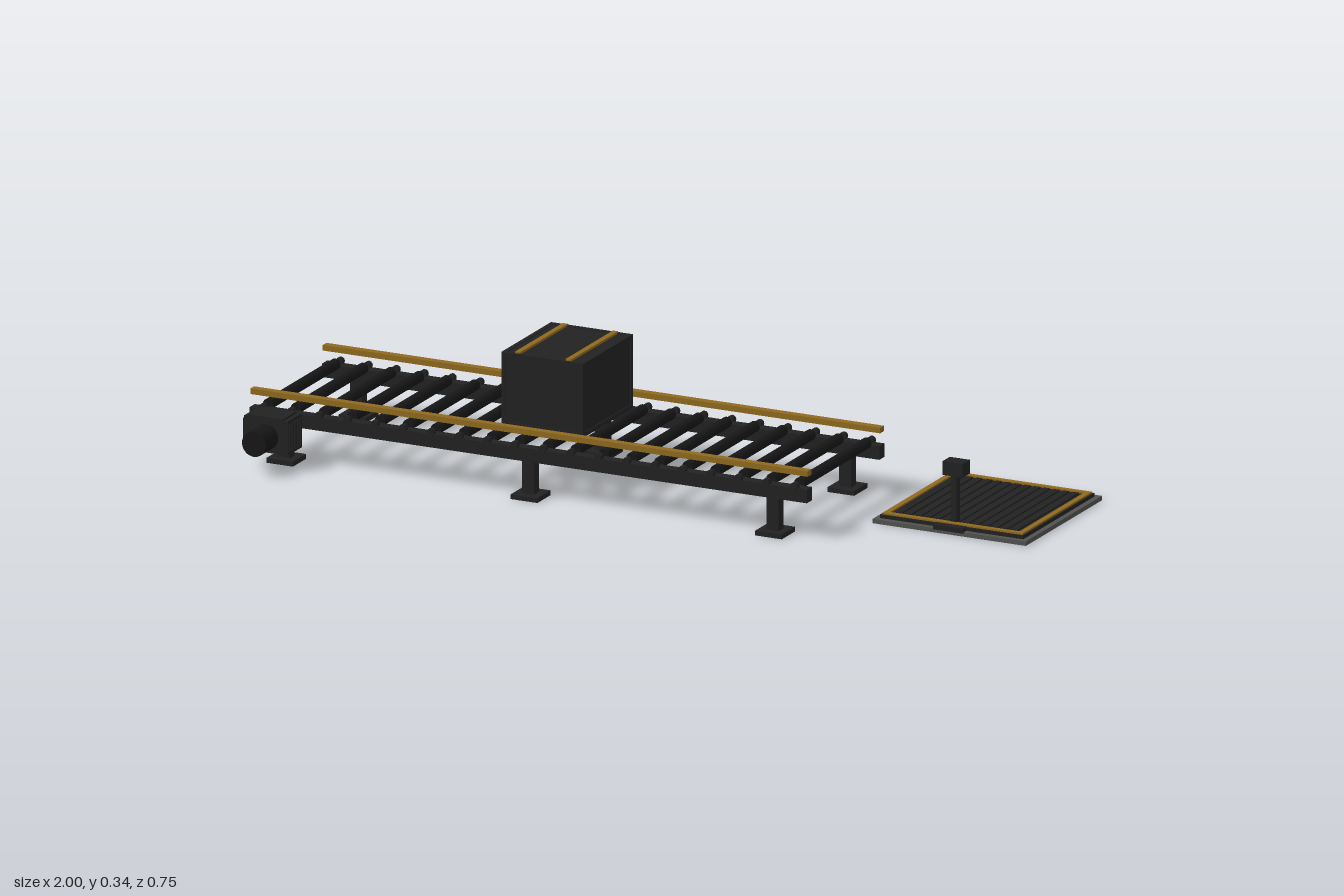
import * as THREE from 'three';

const flat = (name, color) => {
  const m = new THREE.MeshStandardMaterial({ color });
  m.name = name;
  return m;
};

export function createModel() {
  const root = new THREE.Group();
  root.name = 'rollerConveyor';
  const dark = flat('darkSteel', 0x222222);
  const black = flat('blackRubber', 0x171717);
  const grey = flat('greySteel', 0x51514f);
  const yellow = flat('ochrePaint', 0x8f691f);

  const group = (name, parent = root) => {
    const g = new THREE.Group();
    g.name = name;
    parent.add(g);
    return g;
  };
  const add = (parent, name, geo, mat, x, y, z) => {
    const m = new THREE.Mesh(geo, mat);
    m.name = name;
    m.position.set(x, y, z);
    parent.add(m);
    return m;
  };
  // Box given by its min and max on each axis
  const box = (parent, name, mat, x0, x1, y0, y1, z0, z1) =>
    add(parent, name, new THREE.BoxGeometry(x1 - x0, y1 - y0, z1 - z0), mat,
      (x0 + x1) / 2, (y0 + y1) / 2, (z0 + z1) / 2);
  // Cylinder lying along z
  const rod = (parent, name, mat, r, x, y, z0, z1, sides = 16) => {
    const geo = new THREE.CylinderGeometry(r, r, z1 - z0, sides).rotateX(Math.PI / 2);
    return add(parent, name, geo, mat, x, y, (z0 + z1) / 2);
  };

  // Side beams, guard rails and legs; mirrored about z = 0.0225
  const frame = group('frame');
  const midZ = 0.0225;
  for (const s of [-1, 1]) {
    const c = midZ + s * 0.1965;
    box(frame, 'sideBeam', dark, -1, 0.505, 0.093, 0.127, c - 0.014, c + 0.014);
    box(frame, 'guardRail', yellow, -1, 0.505, 0.159, 0.173, c - 0.01, c + 0.01);
    for (const x of [-0.908, -0.248, 0.412]) {
      box(frame, 'leg', dark, x - 0.016, x + 0.016, 0.01, 0.094, c - 0.014, c + 0.014);
      box(frame, 'foot', dark, x - 0.036, x + 0.036, 0, 0.012, c - 0.036, c + 0.036);
    }
  }

  // Rollers with bearing caps at both ends
  const rollers = group('rollers');
  for (let i = 0; i < 20; i++) {
    const x = -0.964 + i * 0.0755;
    rod(rollers, 'roller', black, 0.014, x, 0.131, -0.16, 0.205);
    for (const s of [-1, 1]) {
      const c = midZ + s * 0.2075;
      rod(rollers, 'bearingCap', dark, 0.01, x, 0.131, c - 0.007, c + 0.007, 12);
    }
  }

  // Drive: gearbox with cooling ribs and a round motor
  const drive = group('drive');
  box(drive, 'gearbox', dark, -0.978, -0.86, 0.044, 0.13, 0.231, 0.307);
  box(drive, 'gearboxLid', dark, -0.966, -0.872, 0.13, 0.135, 0.235, 0.309);
  for (let i = 0; i < 5; i++) {
    const z = 0.24 + i * 0.014;
    box(drive, 'coolingRib', dark, -0.983, -0.855, 0.052, 0.122, z, z + 0.006);
  }
  rod(drive, 'motor', black, 0.032, -0.918, 0.084, 0.306, 0.375, 24);

  // Crate: core with edge trim
  const crate = group('crate');
  const [x0, x1, y0, y1, z0, z1] = [-0.358, -0.137, 0.148, 0.335, -0.113, 0.157];
  box(crate, 'crateBody', dark, x0 + 0.003, x1 - 0.003, y0 + 0.002, y1 - 0.002, z0 + 0.003, z1 - 0.003);
  const t = 0.011;
  for (const x of [x0, x1 - t]) {
    for (const z of [z0, z1 - t]) box(crate, 'cornerPost', dark, x, x + t, y0, y1, z, z + t);
    for (const y of [y0, y1 - t]) box(crate, 'sideTrim', dark, x, x + t, y, y + t, z0, z1);
  }
  for (const z of [z0, z1 - t])
    for (const y of [y0, y1 - t]) box(crate, 'endTrim', dark, x0, x1, y, y + t, z, z + t);

  // Painted straps over the top and down the back
  for (const x of [-0.317, -0.181]) {
    box(crate, 'topStrap', yellow, x - 0.007, x + 0.007, 0.333, 0.339, -0.107, 0.151);
    box(crate, 'backStrap', yellow, x - 0.006, x + 0.006, 0.16, 0.325, -0.115, -0.109);
  }

  // Back plate: square painted outline with bars inside
  const cx = (x0 + x1) / 2, cy = 0.253, h = 0.042;
  for (const s of [-1, 1]) {
    box(crate, 'plateOutline', yellow, cx + s * h - 0.004, cx + s * h + 0.004, cy - h, cy + h, -0.115, -0.109);
    box(crate, 'plateOutline', yellow, cx - h, cx + h, cy + s * h - 0.004, cy + s * h + 0.004, -0.115, -0.109);
    box(crate, 'plateBar', yellow, cx + s * 0.018 - 0.004, cx + s * 0.018 + 0.004, cy - 0.024, cy + 0.024, -0.116, -0.109);
  }
  box(crate, 'plateHandle', dark, cx - 0.012, cx + 0.012, cy - 0.018, cy + 0.018, -0.117, -0.109);

  // Floor platform: base, deck, ribs and painted border
  const pad = group('platform');
  const px = 0.793, pz = -0.167;
  box(pad, 'platformBase', grey, px - 0.207, px + 0.207, 0, 0.011, pz - 0.207, pz + 0.207);
  box(pad, 'platformDeck', dark, px - 0.193, px + 0.193, 0.011, 0.02, pz - 0.193, pz + 0.193);
  for (let i = 0; i < 13; i++) {
    const x = px - 0.156 + i * 0.026;
    box(pad, 'deckRib', dark, x - 0.008, x + 0.008, 0.02, 0.024, pz - 0.168, pz + 0.168);
  }
  for (const s of [-1, 1]) {
    const a = s * 0.182;
    box(pad, 'border', yellow, px + a - 0.007, px + a + 0.007, 0.02, 0.024, pz - 0.189, pz + 0.189);
    box(pad, 'border', yellow, px - 0.175, px + 0.175, 0.02, 0.024, pz + a - 0.007, pz + a + 0.007);
  }

  // Control post on the platform
  const post = group('controlPost');
  box(post, 'postFoot', dark, 0.75, 0.832, 0.008, 0.021, 0.022, 0.042);
  box(post, 'post', dark, 0.783, 0.799, 0.011, 0.145, -0.006, 0.011);
  box(post, 'controlHead', dark, 0.763, 0.817, 0.14, 0.175, -0.024, 0.015);

  return root;
}
